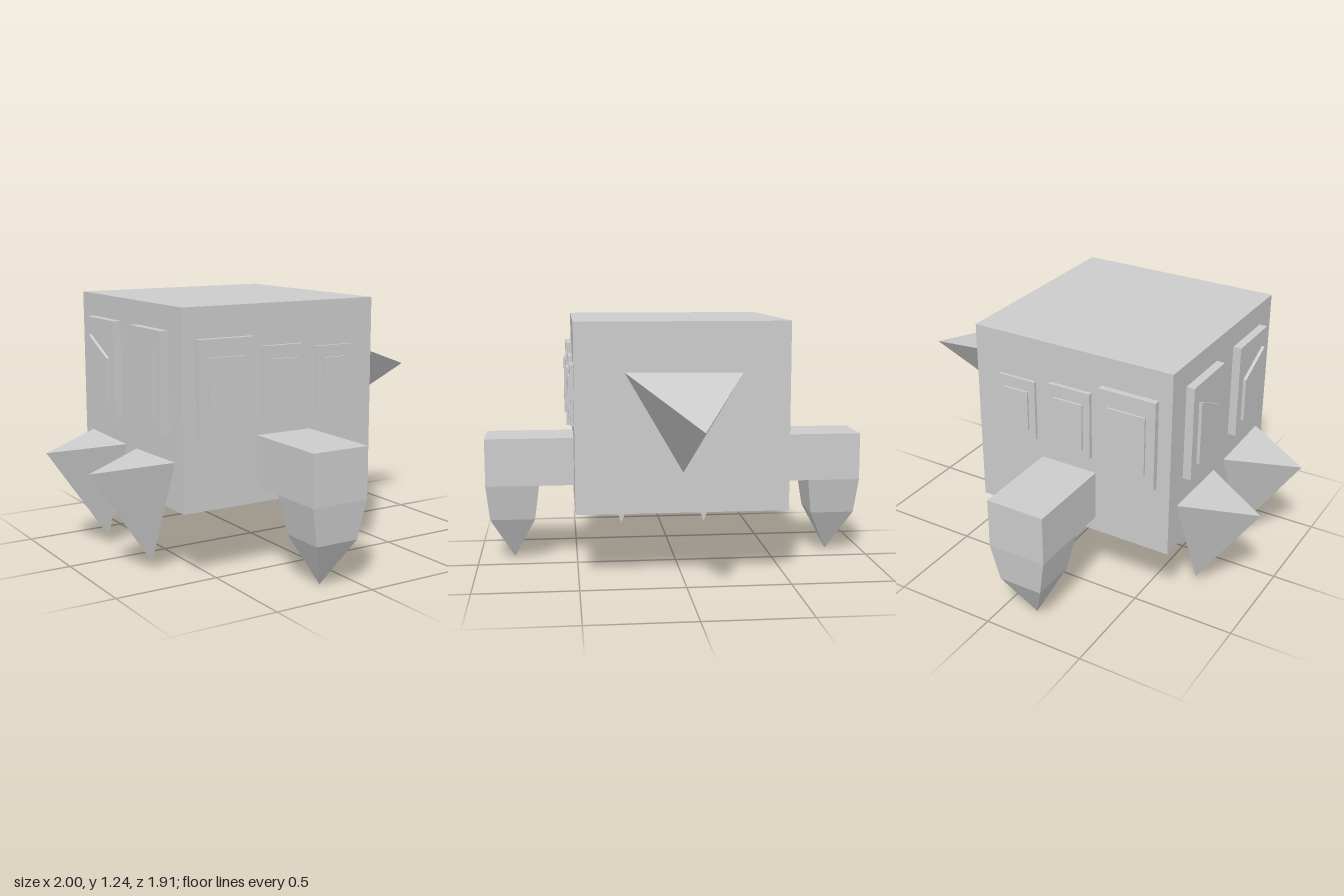
import * as THREE from 'three';
import { ConvexGeometry } from 'three/addons/geometries/ConvexGeometry.js';

const material = new THREE.MeshStandardMaterial({ color: 0xcccccc, flatShading: true });

export function createModel() {
  const model = new THREE.Group();
  model.name = 'blockCreature';

  const add = (name, geometry) => {
    const mesh = new THREE.Mesh(geometry, material);
    mesh.name = name;
    model.add(mesh);
  };
  // Box given by its limits on each axis
  const box = (name, [x0, x1], [y0, y1], [z0, z1]) => {
    const g = new THREE.BoxGeometry(x1 - x0, y1 - y0, Math.abs(z1 - z0));
    add(name, g.translate((x0 + x1) / 2, (y0 + y1) / 2, (z0 + z1) / 2));
  };
  // Faceted solid around a few corner points
  const hull = (name, points) =>
    add(name, new ConvexGeometry(points.map((p) => new THREE.Vector3(...p))));

  box('body', [-0.67, 0.35], [0.325, 1.235], [-0.513, 0.513]);

  // Three-sided spike on the +x side
  hull('tailSpike', [
    [0.367, 1.0, 0.277], [0.352, 0.993, -0.285], [0.352, 0.52, 0], [0.995, 0.805, -0.02],
  ]);

  // Side panels: frame limits, inset limits, how far the frame stands out
  const panels = [
    { frame: [[-0.605, -0.32], [0.66, 1.095]], inset: [[-0.56, -0.37], [0.72, 1.015]], z: 0.543 },
    { frame: [[-0.27, -0.055], [0.715, 1.045]], inset: [[-0.235, -0.085], [0.755, 0.985]], z: 0.533 },
    { frame: [[0.025, 0.22], [0.73, 1.025]], inset: [[0.06, 0.19], [0.775, 0.97]], z: 0.528 },
  ];

  for (const s of [1, -1]) {
    const side = s > 0 ? 'Front' : 'Back';

    for (const { frame, inset, z } of panels) {
      box('panelFrame' + side, ...frame, [s * 0.5, s * z]);
      box('panelInset' + side, ...inset, [s * 0.5, s * (z + 0.01)]);
    }

    // Arm reaching out, then a tapering claw pointing down
    box('arm' + side, [-0.29, -0.002], [0.4, 0.64], [s * 0.5, s * 0.955]);
    const ring = (y, x0, x1, z0, z1) =>
      [[x0, y, s * z0], [x1, y, s * z0], [x1, y, s * z1], [x0, y, s * z1]];
    hull('armClaw' + side, [
      ...ring(0.4, -0.29, -0.002, 0.688, 0.955),
      ...ring(0.22, -0.255, -0.04, 0.712, 0.937),
      [-0.155, 0, s * 0.82],
    ]);

    // Eye on the -x face, with a slanted pupil
    box('eyeFrame' + side, [-0.71, -0.66], [0.665, 1.125], [s * 0.087, s * 0.387]);
    hull('eyePupil' + side, [-0.66, -0.725].flatMap((x) => [
      [x, 0.73, s * 0.137], [x, 0.73, s * 0.337],
      [x, 1.04, s * 0.337], [x, 0.945, s * 0.137],
    ]));

    // Three-sided tusk below each eye
    hull('tusk' + side, [
      [-0.668, 0.545, s * 0.437], [-0.668, 0.537, s * 0.055],
      [-0.69, 0.035, s * 0.237], [-1.0, 0.495, s * 0.247],
    ]);
  }

  return model;
}
